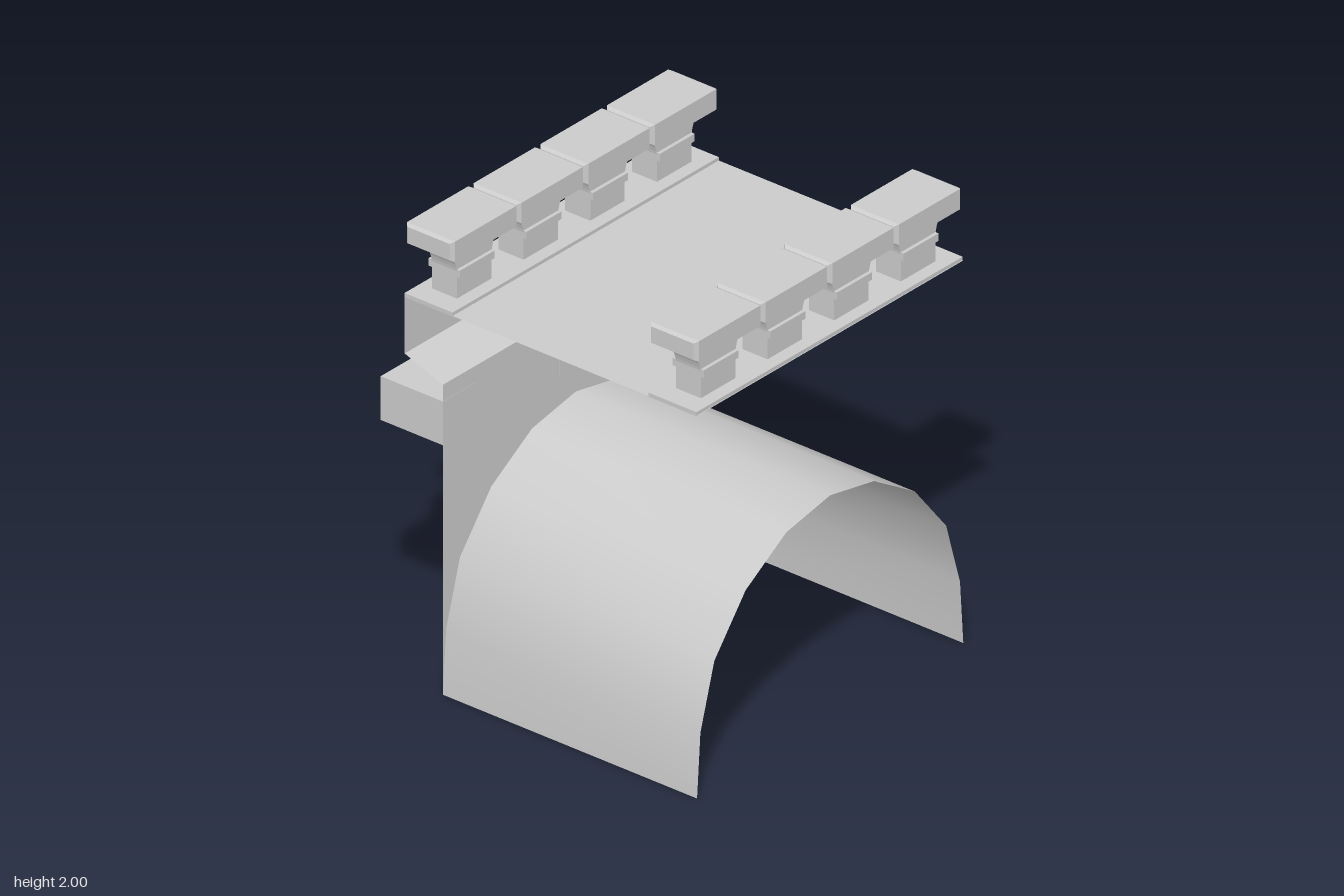
import * as THREE from 'three';

export function createModel() {
  const model = new THREE.Group();
  const stone = new THREE.MeshStandardMaterial({ color: 0xcccccc, side: THREE.DoubleSide });
  stone.name = 'grey stone';

  const add = (parent, name, geometry, x = 0, y = 0, z = 0) => {
    const mesh = new THREE.Mesh(geometry, stone);
    mesh.name = name;
    mesh.position.set(x, y, z);
    parent.add(mesh);
    return mesh;
  };
  const box = (parent, name, x0, x1, y0, y1, z0, z1) =>
    add(parent, name, new THREE.BoxGeometry(x1 - x0, y1 - y0, z1 - z0),
      (x0 + x1) / 2, (y0 + y1) / 2, (z0 + z1) / 2);

  const W = 0.795, FRONT = 0.79, WALL = -0.48, BACK = -0.67, DECK = 1.68;

  // Faceted arch outline, from +x foot over the crown to -x foot
  const half = [[W, 0], [0.775, 0.28], [0.692, 0.56], [0.505, 0.79], [0.262, 0.94]];
  const arch = [...half, [0, 0.99], ...half.slice().reverse().map(([x, y]) => [-x, y])];

  // Open vault with smooth normals
  const pos = [], idx = [];
  arch.forEach(([x, y], i) => {
    pos.push(x, y, FRONT, x, y, WALL);
    if (i) {
      const a = 2 * i - 2;
      idx.push(a, a + 1, a + 2, a + 1, a + 3, a + 2);
    }
  });
  const vault = new THREE.BufferGeometry();
  vault.setAttribute('position', new THREE.Float32BufferAttribute(pos, 3));
  vault.setIndex(idx);
  vault.computeVertexNormals();
  add(model, 'vault', vault);

  // Back wall around the arch
  const wall = new THREE.Shape();
  wall.moveTo(-W, 1.36);
  arch.slice().reverse().forEach(([x, y]) => wall.lineTo(x, y));
  wall.lineTo(W, 1.36);
  add(model, 'archWall', new THREE.ShapeGeometry(wall), 0, 0, WALL);

  // Overhanging ledge, parapet face and deck as single sheets
  const sheet = (name, [z0, y0], [z1, y1]) => {
    const g = new THREE.BufferGeometry();
    g.setAttribute('position', new THREE.Float32BufferAttribute(
      [W, y0, z0, -W, y0, z0, -W, y1, z1, W, y1, z1], 3));
    g.setIndex([0, 1, 2, 0, 2, 3]);
    g.computeVertexNormals();
    add(model, name, g);
  };
  sheet('ledge', [WALL, 1.36], [BACK, 1.43]);
  sheet('parapetFace', [BACK, 1.43], [BACK, DECK]);
  sheet('deck', [BACK, DECK], [FRONT, DECK]);

  // Beam ends sticking out of the back wall
  for (const [x0, x1] of [[-W, -0.605], [-0.097, 0.095], [0.603, W]]) {
    box(model, 'beamEnd', x0, x1, 1.095, 1.287, -0.79, WALL + 0.001);
  }

  // Baluster outline: straight stem flaring in a quarter curve to the cap
  const stem = new THREE.Shape();
  stem.moveTo(-0.103, 1.69);
  stem.lineTo(0.103, 1.69);
  stem.lineTo(0.103, 1.81);
  stem.bezierCurveTo(0.11, 1.865, 0.135, 1.905, 0.182, 1.91);
  stem.lineTo(-0.182, 1.91);
  stem.bezierCurveTo(-0.135, 1.905, -0.11, 1.865, -0.103, 1.81);
  const stemGeo = new THREE.ExtrudeGeometry(stem, { depth: 0.125, bevelEnabled: false, curveSegments: 8 });
  stemGeo.translate(0, 0, -0.0625);

  // Cap block whose two ends are chamfered all round
  const capGeo = new THREE.BoxGeometry(0.397, 0.09, 0.24, 3, 1, 1).toNonIndexed();
  const p = capGeo.attributes.position;
  for (let i = 0; i < p.count; i++) {
    const x = p.getX(i);
    if (Math.abs(x) > 0.19) {
      p.setY(i, p.getY(i) * 0.8);
      p.setZ(i, p.getZ(i) * 0.88);
    } else {
      p.setX(i, Math.sign(x) * 0.183);
    }
  }
  capGeo.computeVertexNormals();

  // One balustrade along each side of the deck
  for (const [name, z] of [['frontBalustrade', 0.667], ['backBalustrade', -0.551]]) {
    const rail = new THREE.Group();
    rail.name = name;
    rail.position.z = z;
    box(rail, 'plinth', -W, W, 1.677, 1.695, -0.12, 0.12);
    for (let i = 0; i < 4; i++) {
      const x = (i - 1.5) * 0.398;
      add(rail, 'baluster', stemGeo, x);
      box(rail, 'balusterBand', x - 0.104, x + 0.104, 1.79, 1.823, -0.078, 0.078);
      add(rail, 'cap', capGeo, x, 1.955, 0);
    }
    model.add(rail);
  }
  return model;
}
